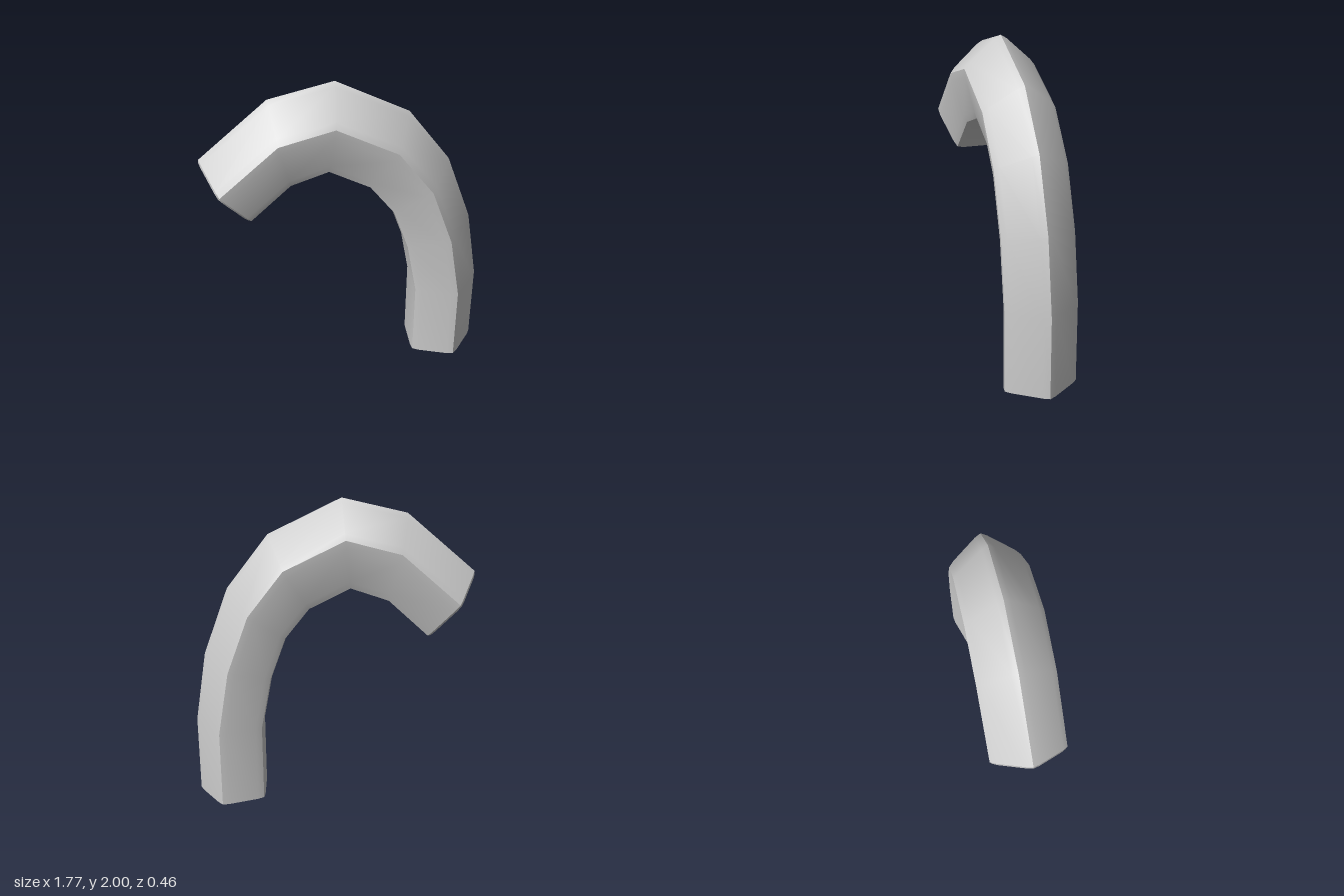
import * as THREE from 'three';
import { toCreasedNormals } from 'three/addons/utils/BufferGeometryUtils.js';

// Pentagon with softened corners: [distance toward the outer ridge, z]
const section = [];
for (let k = 0; k < 5; k++) {
  for (const [r, turn] of [[0.224, -10], [0.24, 0], [0.224, 10]]) {
    const a = THREE.MathUtils.degToRad(k * 72 + turn);
    section.push([r * Math.cos(a), r * Math.sin(a)]);
  }
}

// Bend stations: outer ridge x, y and inner side x, y
const stations = [
  [0.885, 0, 0.445, 0],
  [0.885, 0.52, 0.445, 0.52],
  [0.81, 0.99, 0.38, 0.87],
  [0.65, 1.43, 0.285, 1.14],
  [0.39, 1.775, 0.135, 1.335],
  [-0.06, 2.0, -0.115, 1.465],
  [-0.46, 1.905, -0.345, 1.385],
  [-0.885, 1.535, -0.59, 1.155],
];

// One ring of points; scale shrinks it about its centre, shift moves it along the mouth direction
function ring([ox, oy, ix, iy], scale = 1, shift = 0) {
  const mouth = new THREE.Vector2(oy - iy, ix - ox).normalize().multiplyScalar(-shift);
  return section.map(([d, z]) => {
    const f = (0.24 - d * scale) / 0.441;
    return new THREE.Vector3(ox + (ix - ox) * f + mouth.x, oy + (iy - oy) * f + mouth.y, z * scale);
  });
}

// Skin consecutive rings with quads
function loft(rings) {
  const pos = [];
  const tri = (a, b, c) => {
    if (a.distanceTo(b) < 1e-6 || b.distanceTo(c) < 1e-6 || c.distanceTo(a) < 1e-6) return;
    for (const v of [a, b, c]) pos.push(v.x, v.y, v.z);
  };
  for (let i = 0; i + 1 < rings.length; i++) {
    const p = rings[i], q = rings[i + 1];
    for (let j = 0; j < p.length; j++) {
      const n = (j + 1) % p.length;
      tri(p[j], q[j], q[n]);
      tri(p[j], q[n], p[n]);
    }
  }
  const g = new THREE.BufferGeometry();
  g.setAttribute('position', new THREE.Float32BufferAttribute(pos, 3));
  return toCreasedNormals(g, 0.7);
}

export function createModel() {
  const group = new THREE.Group();
  group.name = 'curvedSpout';
  const material = new THREE.MeshStandardMaterial({ color: 0xcccccc });
  const add = (name, rings) => {
    const mesh = new THREE.Mesh(loft(rings), material);
    mesh.name = name;
    group.add(mesh);
  };
  const first = stations[0], last = stations[stations.length - 1];

  // Bent pipe with a closed flat foot
  add('pipe', [ring(first, 0), ...stations.map((s) => ring(s))]);

  // Bevelled lip and recessed mouth
  add('mouth', [
    ring(last),
    ring(last, 0.94, 0.015),
    ring(last, 0.82, 0.015),
    ring(last, 0.78, -0.08),
    ring(last, 0, -0.08),
  ]);
  return group;
}
